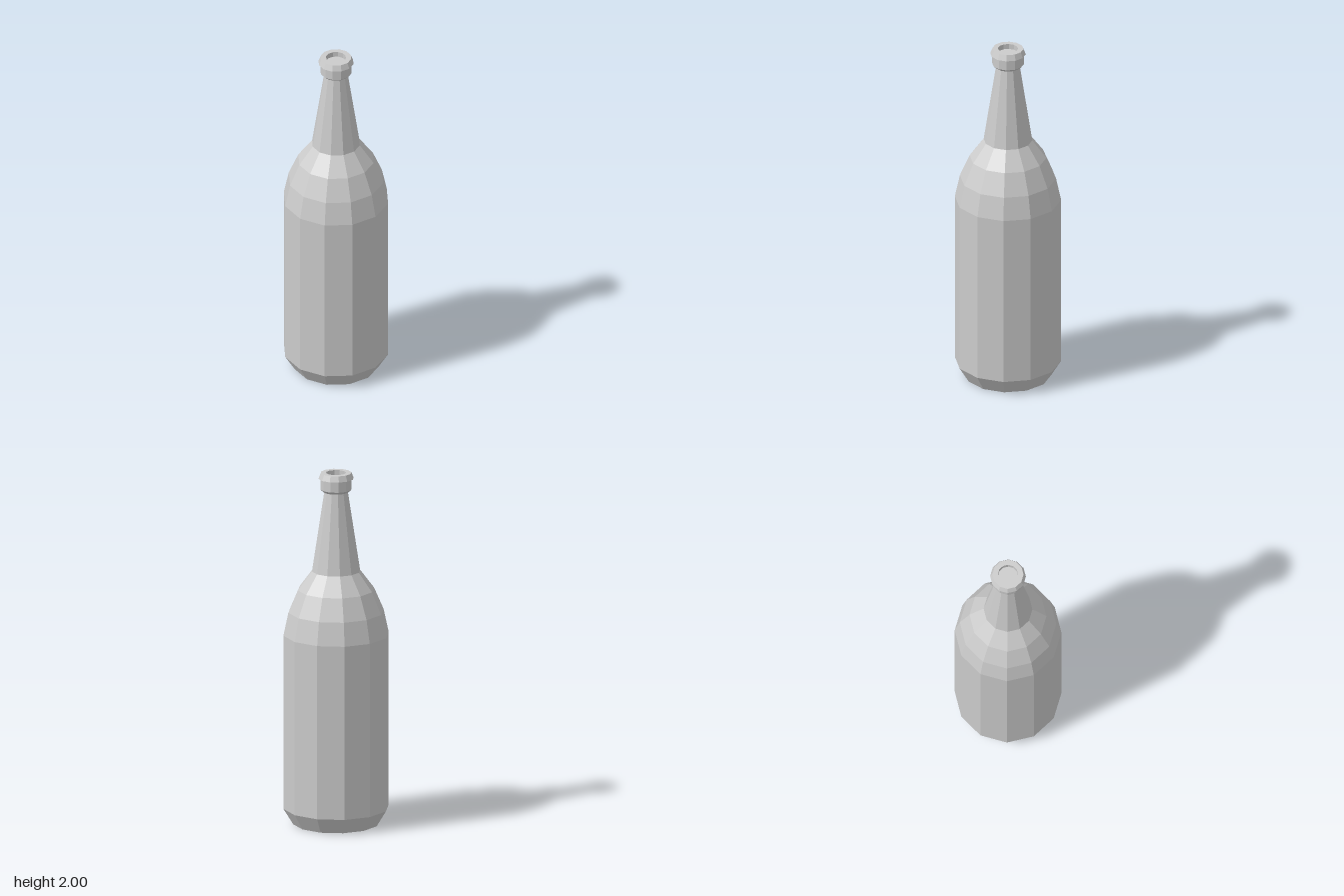
import * as THREE from 'three';

const SIDES = 12;

// Turns a [radius, height] outline, listed from bottom to top, into a faceted part
function turned(name, outline, material) {
  const points = outline.map(([r, y]) => new THREE.Vector2(r, y));
  const mesh = new THREE.Mesh(new THREE.LatheGeometry(points, SIDES), material);
  mesh.name = name;
  return mesh;
}

export function createModel() {
  const bottle = new THREE.Group();
  bottle.name = 'bottle';
  const glass = new THREE.MeshStandardMaterial({ color: 0xcccccc, flatShading: true });

  // Flat base, chamfered foot, straight wall and rounded shoulder
  bottle.add(turned('body', [
    [0, 0], [0.24, 0], [0.295, 0.09], [0.295, 1.08],
    [0.267, 1.21], [0.213, 1.335], [0.135, 1.44],
  ], glass));

  // Tapering neck
  bottle.add(turned('neck', [[0.135, 1.44], [0.066, 1.892]], glass));

  // Collar under the mouth
  bottle.add(turned('collar', [
    [0.066, 1.892], [0.072, 1.892], [0.088, 1.907], [0.088, 1.968],
  ], glass));

  // Overhanging rim with a shallow recessed mouth
  bottle.add(turned('rim', [
    [0.088, 1.968], [0.099, 1.968], [0.086, 2], [0.056, 2], [0.056, 1.97], [0, 1.97],
  ], glass));

  return bottle;
}
